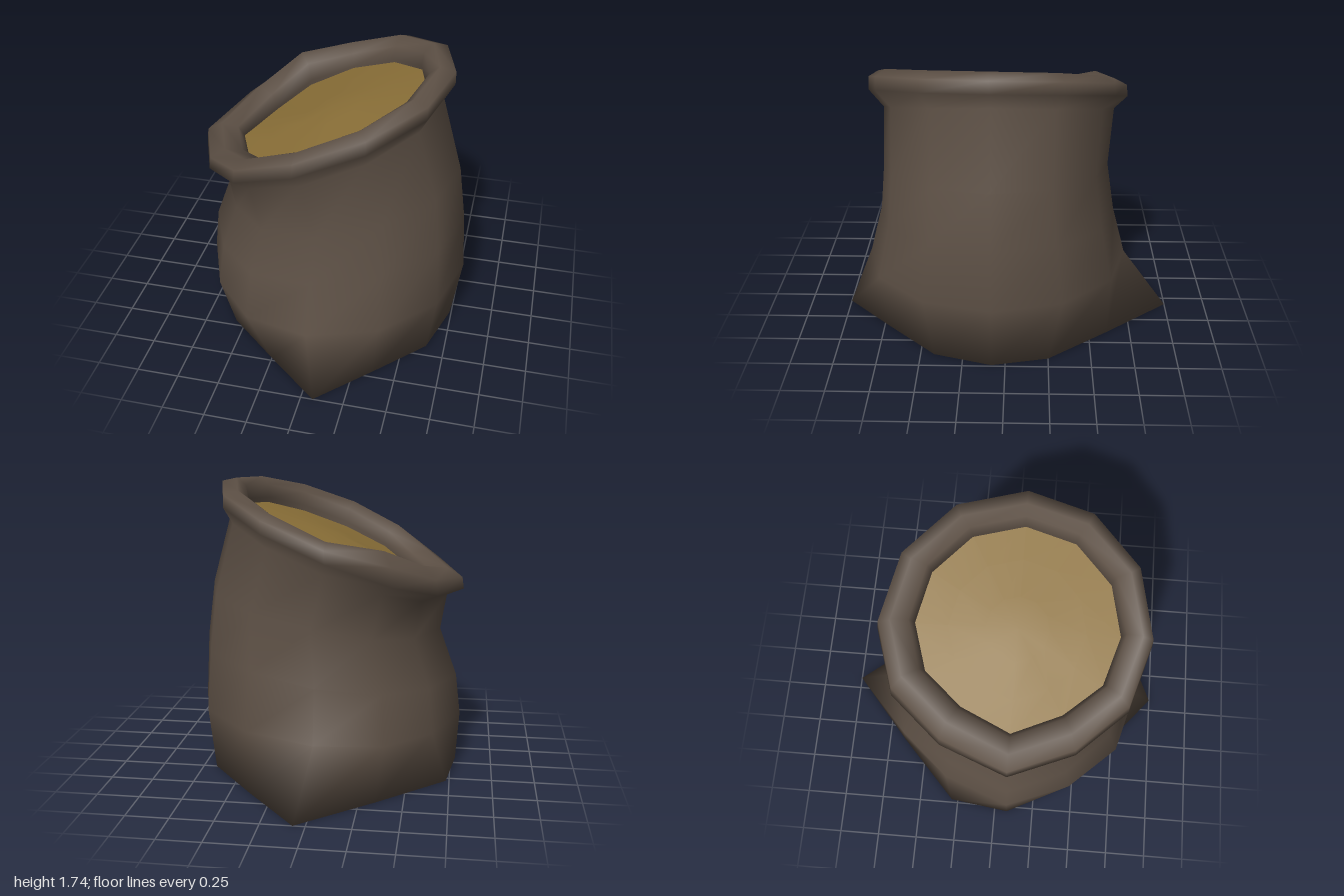
import * as THREE from 'three';
import { mergeVertices } from 'three/addons/utils/BufferGeometryUtils.js';

const SIDES = 12;
const Z_MID = 0.08;

// Ring from its extremes: left (x, y), right (x, y), front z, back z.
// The -x side is slightly pointed; front lifts the front edge and
// bump raises the back of the -x side.
function ring(xl, yl, xr, yr, zf, zb, { front = 0, bump = 0 } = {}) {
  const points = [];
  for (let i = 0; i < SIDES; i++) {
    const a = (i / SIDES) * Math.PI * 2;
    const c = Math.cos(a), s = Math.sin(a);
    const toFront = Math.max(0, s), toBack = Math.max(0, -s), toLow = Math.max(0, -c);
    points.push([
      (xl + xr) / 2 + ((xr - xl) / 2) * c + 0.34 * toLow ** 4 * s * s,
      (yl + yr) / 2 + ((yr - yl) / 2) * c + front * toFront ** 2 + bump * toBack ** 2 * toLow,
      Z_MID + (zf - Z_MID) * toFront + (zb - Z_MID) * toBack,
    ]);
  }
  return points;
}

// Shrink a ring towards a point
const shrink = (points, [cx, cy, cz], t) => points.map(([x, y, z]) => [
  cx + (x - cx) * t, cy + (y - cy) * t, cz + (z - cz) * t,
]);

// Smooth skin through a list of rings
function loft(rings) {
  const index = [];
  for (let j = 0; j < rings.length - 1; j++) {
    for (let i = 0; i < SIDES; i++) {
      const k = (i + 1) % SIDES;
      const a = j * SIDES + i, b = j * SIDES + k;
      const c = a + SIDES, d = b + SIDES;
      index.push(a, c, b, b, c, d);
    }
  }
  let geometry = new THREE.BufferGeometry();
  geometry.setAttribute('position', new THREE.Float32BufferAttribute(rings.flat(2), 3));
  geometry.setIndex(index);
  geometry = mergeVertices(geometry);
  geometry.computeVertexNormals();
  return geometry;
}

export function createModel() {
  const group = new THREE.Group();
  group.name = 'grainSack';

  const cloth = new THREE.MeshStandardMaterial({ color: 0x5e5146 });
  cloth.name = 'brown cloth';
  const grain = new THREE.MeshStandardMaterial({ color: 0x8b7038 });
  grain.name = 'golden grain';

  const add = (name, rings, material) => {
    const mesh = new THREE.Mesh(loft(rings), material);
    mesh.name = name;
    group.add(mesh);
  };

  // Outline on the floor, pulled into points at the front and back seams
  const base = [
    [0.74, 0.08], [0.64, 0.42], [0.36, 0.71], [0.07, 1], [-0.25, 0.73], [-0.56, 0.46],
    [-0.78, 0.08], [-0.73, -0.29], [-0.34, -0.65], [0.07, -1], [0.39, -0.61], [0.67, -0.25],
  ].map(([x, z]) => [x, 0, z]);

  // One skin: underside, slumped body, rolled rim and inside of the mouth
  add('clothSack', [
    shrink(base, [0, 0, Z_MID], 0),
    base,
    ring(-0.8, 0.3, 0.8, 0.4, 0.86, -0.73),
    ring(-0.77, 0.55, 0.78, 0.76, 0.78, -0.65),
    ring(-0.665, 0.84, 0.735, 1.1, 0.745, -0.6),
    ring(-0.7, 1.05, 0.615, 1.54, 0.74, -0.63),
    ring(-0.8, 1.09, 0.67, 1.64, 0.83, -0.71, { front: 0.03 }),
    ring(-0.79, 1.16, 0.67, 1.715, 0.825, -0.7, { front: 0.04, bump: 0.1 }),
    ring(-0.7, 1.215, 0.58, 1.735, 0.765, -0.63, { front: 0.04, bump: 0.19 }),
    ring(-0.6, 1.2, 0.525, 1.69, 0.68, -0.53, { front: 0.03, bump: 0.17 }),
    ring(-0.56, 1.14, 0.51, 1.61, 0.655, -0.5, { front: 0.02, bump: 0.08 }),
    ring(-0.6, 1, 0.55, 1.45, 0.68, -0.54),
  ], cloth);

  // Gently heaped grain filling the mouth
  const edge = ring(-0.59, 1.13, 0.54, 1.59, 0.675, -0.525);
  const peak = [-0.03, 1.41, Z_MID];
  add('grain', [edge, shrink(edge, peak, 0.65), shrink(edge, peak, 0.3), shrink(edge, peak, 0)], grain);

  return group;
}
